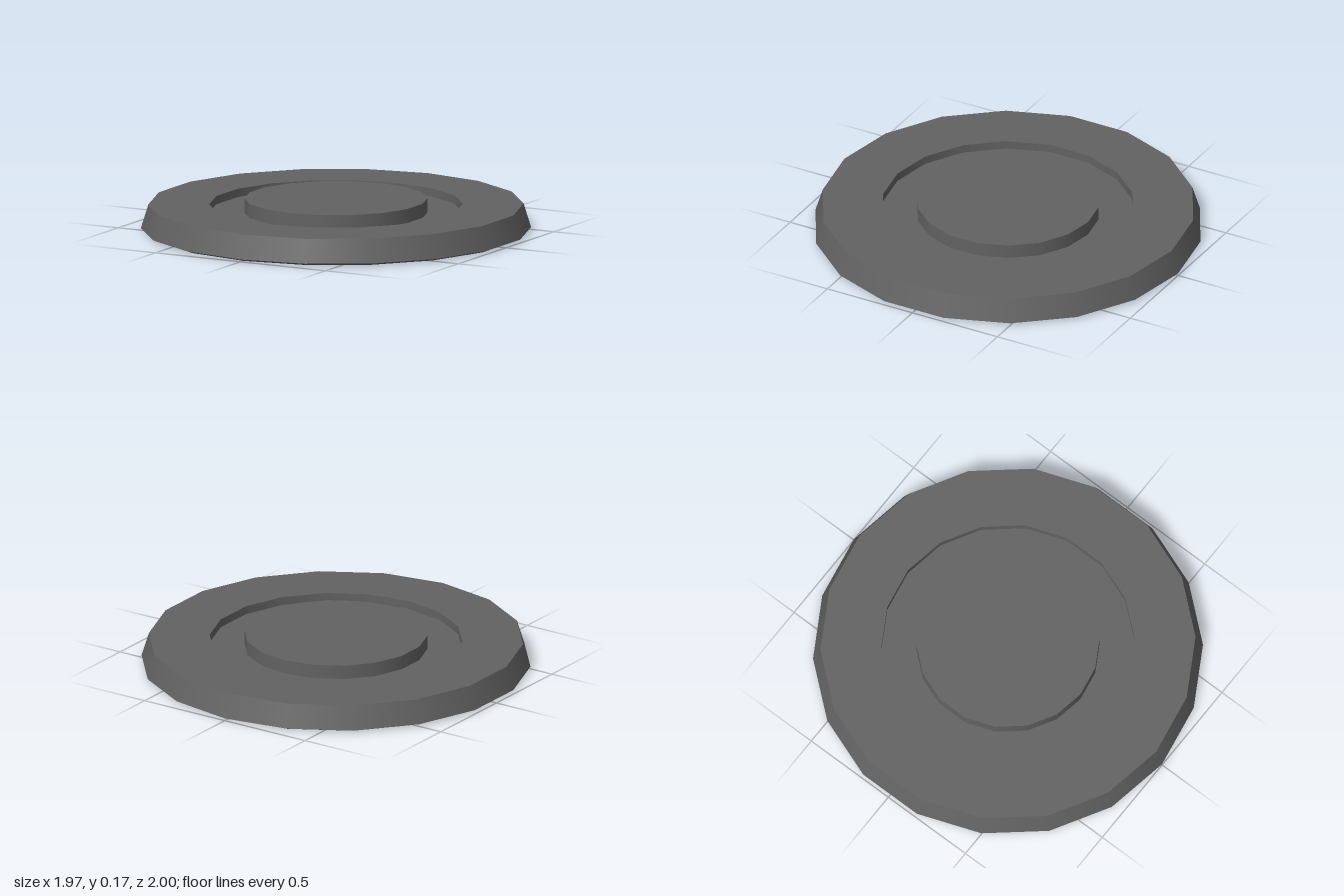
import * as THREE from 'three';
import { mergeGeometries } from 'three/addons/utils/BufferGeometryUtils.js';

const SIDES = 18;

// Revolves each span of a profile on its own: smooth around, sharp between spans
function revolve(name, profile, material) {
  const bands = [];
  for (let i = 0; i < profile.length - 1; i++) {
    const span = [profile[i], profile[i + 1]].map(([r, y]) => new THREE.Vector2(r, y));
    bands.push(new THREE.LatheGeometry(span, SIDES));
  }
  const mesh = new THREE.Mesh(mergeGeometries(bands), material);
  mesh.name = name;
  return mesh;
}

export function createModel() {
  const group = new THREE.Group();
  group.name = 'lid';
  const grey = new THREE.MeshStandardMaterial({ color: 0x626262 });
  grey.name = 'dark grey';

  // Hollow underside: raised centre pocket, lowered ring, upper plate
  group.add(revolve('underside', [
    [0, 0.143], [0.45, 0.143], [0.45, 0.07], [0.675, 0.07], [0.675, 0.11], [0.945, 0.11],
  ], grey));

  // Rim skirt with a chamfered foot and sloping outer wall
  group.add(revolve('rim', [
    [0.945, 0.11], [0.97, 0], [1, 0.012], [0.962, 0.135],
  ], grey));

  // Flat top plate
  group.add(revolve('topPlate', [[0.962, 0.135], [0.65, 0.135]], grey));

  // Groove around the centre
  group.add(revolve('groove', [[0.65, 0.135], [0.65, 0.092], [0.47, 0.092]], grey));

  // Raised centre disc
  group.add(revolve('centreDisc', [[0.47, 0.092], [0.47, 0.165], [0, 0.165]], grey));

  return group;
}
